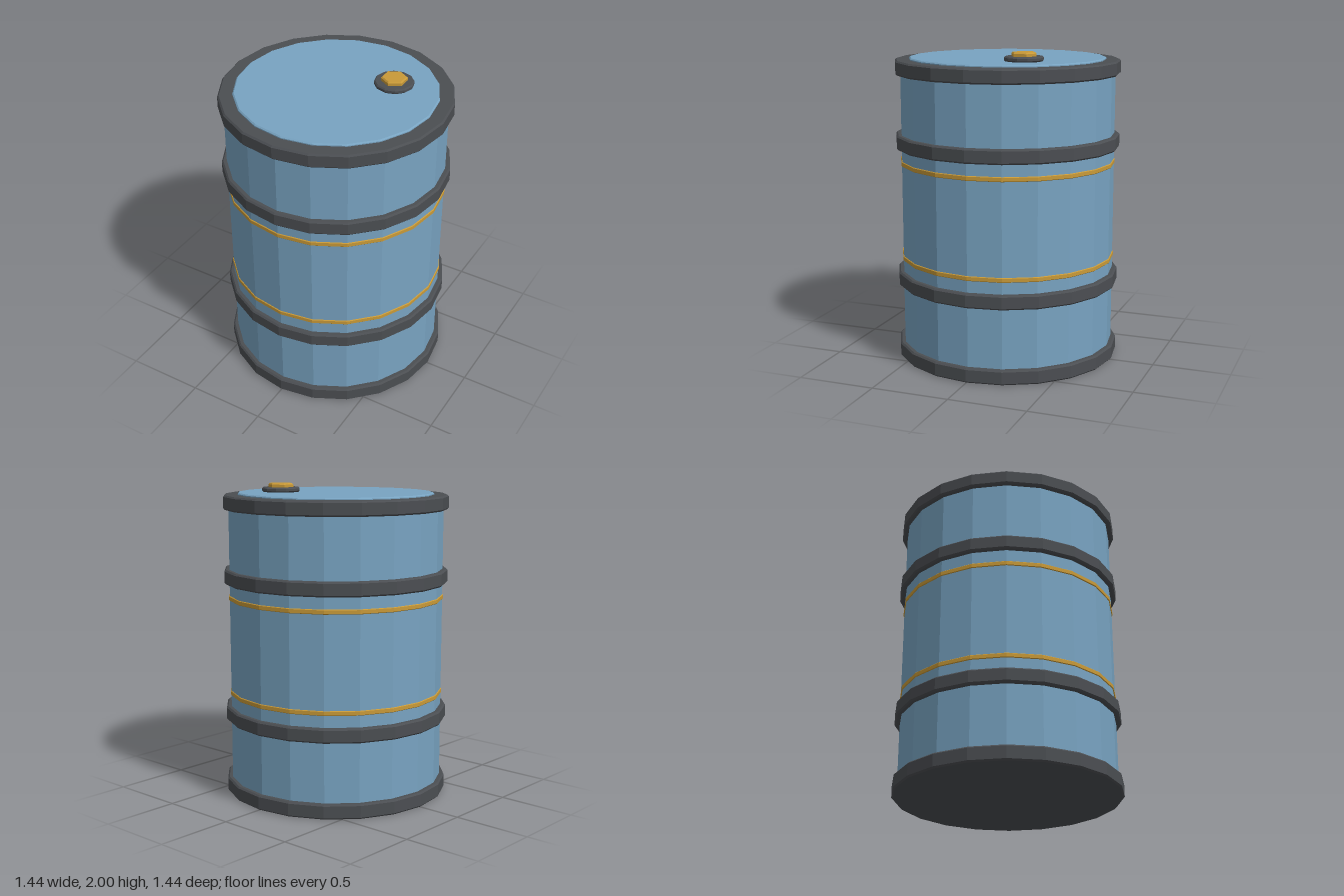
import * as THREE from 'three';

const blue = new THREE.MeshStandardMaterial({ color: 0x78a3c1 });
const charcoal = new THREE.MeshStandardMaterial({ color: 0x4b4e52 });
const gold = new THREE.MeshStandardMaterial({ color: 0xc99a38 });
blue.name = 'steel blue paint';
charcoal.name = 'charcoal rim';
gold.name = 'gold trim';

// Faceted turned part; the profile [radius, y] runs upwards on its outside.
function turned(name, profile, sides, material) {
  const points = profile.map(([r, y]) => new THREE.Vector2(r, y));
  const geometry = new THREE.LatheGeometry(points, sides).toNonIndexed();
  geometry.computeVertexNormals();
  const mesh = new THREE.Mesh(geometry, material);
  mesh.name = name;
  return mesh;
}

// Band with chamfered outer edges, from the inner radius out and back.
function band(name, inner, outer, y0, y1, chamfer, sides, material) {
  return turned(name, [
    [inner, y0], [outer - chamfer, y0], [outer, y0 + chamfer],
    [outer, y1 - chamfer], [outer - chamfer, y1], [inner, y1],
  ], sides, material);
}

export function createModel() {
  const model = new THREE.Group();
  model.name = 'barrel';
  const sides = 20;

  // Body
  model.add(turned('body', [[0.69, 0.05], [0.69, 1.9]], sides, blue));

  // Base and top rims, closed across the barrel
  model.add(band('baseRim', 0, 0.722, 0, 0.095, 0.01, sides, charcoal));
  model.add(band('topRim', 0, 0.722, 1.84, 1.932, 0.01, sides, charcoal));

  // Rolling hoops
  for (const [name, y] of [['lowerHoop', 0.525], ['upperHoop', 1.415]]) {
    model.add(band(name, 0.68, 0.722, y - 0.046, y + 0.046, 0.01, sides, charcoal));
  }

  // Thin gold stripes
  for (const [name, y] of [['lowerStripe', 0.66], ['upperStripe', 1.278]]) {
    model.add(band(name, 0.685, 0.695, y - 0.015, y + 0.015, 0.004, sides, gold));
  }

  // Lid plate
  model.add(turned('lid', [[0.63, 1.93], [0.63, 1.938], [0.622, 1.945], [0, 1.945]], sides, blue));

  // Filler cap: round collar with a hexagonal plug
  const cap = new THREE.Group();
  cap.name = 'fillerCap';
  cap.position.set(0.28, 1.945, -0.214);
  cap.add(band('collar', 0, 0.124, 0, 0.03, 0.008, 12, charcoal));
  cap.add(turned('hexPlug', [[0.082, 0.02], [0.082, 0.047], [0.074, 0.055], [0, 0.055]], 6, gold));
  model.add(cap);

  return model;
}
